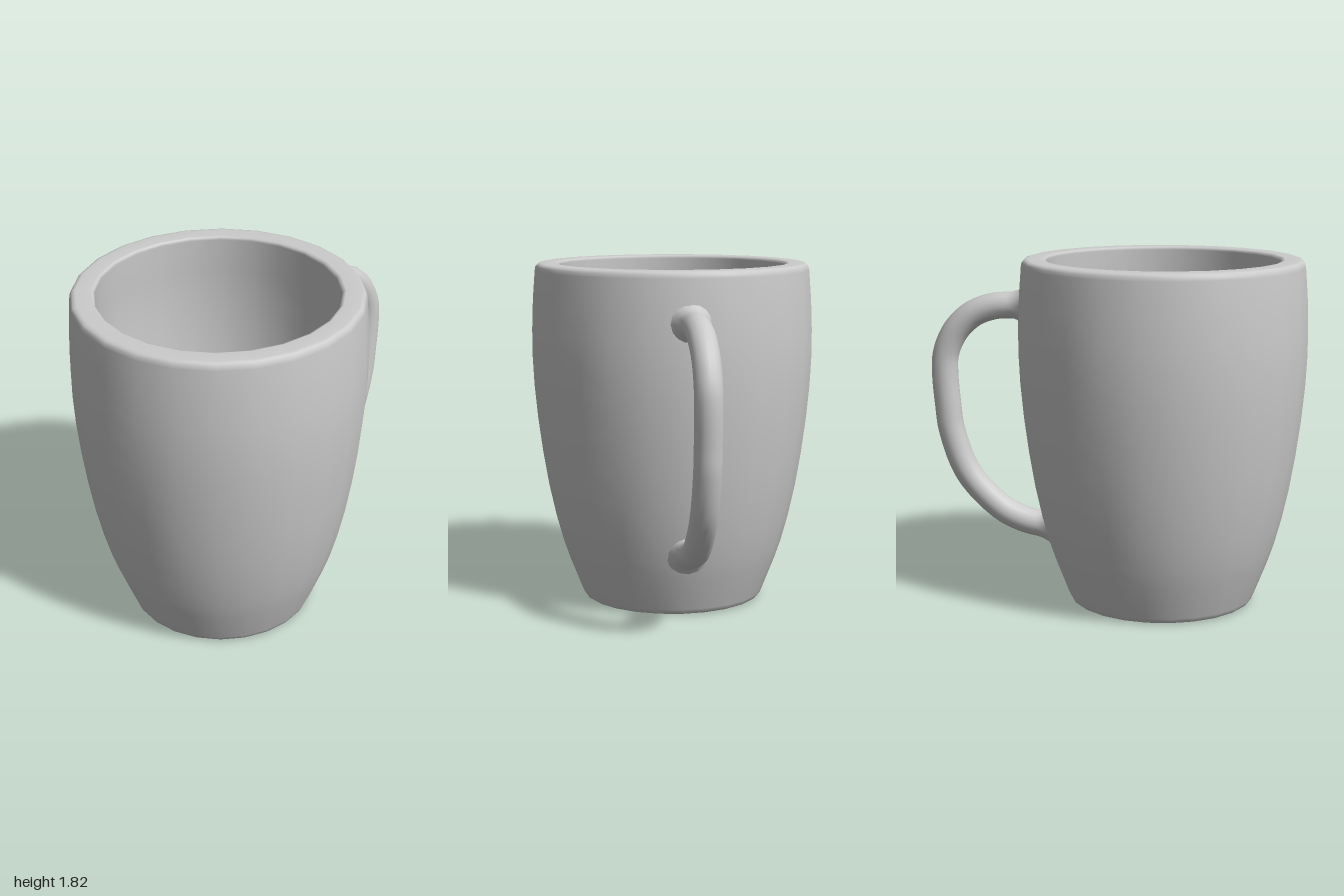
import * as THREE from 'three';

const material = new THREE.MeshStandardMaterial({ color: 0xcccccc, roughness: 0.7 });

// Barrel-shaped cup: one closed profile from base centre, up the outside, over the rim and down inside
function makeCup() {
  const profile = [
    [0, 0], [0.455, 0], [0.474, 0.003], [0.485, 0.01], [0.495, 0.03],
    [0.53, 0.12], [0.565, 0.21], [0.599, 0.31], [0.637, 0.45], [0.674, 0.62],
    [0.704, 0.8], [0.729, 0.99], [0.746, 1.17], [0.754, 1.33], [0.754, 1.47],
    [0.748, 1.63], [0.736, 1.785], [0.732, 1.805], [0.722, 1.817], [0.705, 1.822],
    [0.63, 1.822], [0.617, 1.818], [0.61, 1.805],
    [0.624, 1.63], [0.63, 1.45], [0.626, 1.25], [0.61, 1.0], [0.58, 0.78],
    [0.54, 0.56], [0.495, 0.37], [0.45, 0.23], [0.432, 0.17], [0.41, 0.14], [0.38, 0.13], [0, 0.13],
  ].map(([r, y]) => new THREE.Vector2(r, y));
  const cup = new THREE.Mesh(new THREE.LatheGeometry(profile, 24), material);
  cup.name = 'cup';
  cup.position.x = -0.245;
  return cup;
}

// Round handle, slightly skewed in z, flaring out where it meets the cup
function makeHandle() {
  const curve = new THREE.CatmullRomCurve3([
    [0.47, 1.56, -0.015], [0.56, 1.56, -0.02], [0.66, 1.552, -0.025], [0.77, 1.51, -0.032],
    [0.865, 1.42, -0.038], [0.92, 1.3, -0.041], [0.928, 1.2, -0.042], [0.915, 1.02, -0.042],
    [0.897, 0.88, -0.041], [0.81, 0.645, -0.036], [0.635, 0.46, -0.028],
    [0.52, 0.4, -0.024], [0.42, 0.375, -0.02], [0.33, 0.37, -0.015],
  ].map((p) => new THREE.Vector3(...p)));
  const steps = 96, sides = 16, radius = 0.071;
  const geometry = new THREE.TubeGeometry(curve, steps, radius, sides);
  const length = curve.getLength();
  const pos = geometry.attributes.position;
  const v = new THREE.Vector3();
  for (let i = 0; i <= steps; i++) {
    const u = i / steps;
    const centre = curve.getPointAt(u);
    const toEnd = Math.min(u, 1 - u) * length;
    const flare = 1 + 0.75 * Math.max(0, 1 - toEnd / 0.1) ** 2;
    for (let j = 0; j <= sides; j++) {
      const k = i * (sides + 1) + j;
      v.fromBufferAttribute(pos, k).sub(centre).multiplyScalar(flare).add(centre);
      pos.setXYZ(k, v.x, v.y, v.z);
    }
  }
  geometry.computeVertexNormals();
  // Close the shading seam along the tube
  const normal = geometry.attributes.normal;
  const w = new THREE.Vector3();
  for (let i = 0; i <= steps; i++) {
    const a = i * (sides + 1), b = a + sides;
    v.fromBufferAttribute(normal, a).add(w.fromBufferAttribute(normal, b)).normalize();
    normal.setXYZ(a, v.x, v.y, v.z);
    normal.setXYZ(b, v.x, v.y, v.z);
  }
  const handle = new THREE.Mesh(geometry, material);
  handle.name = 'handle';
  return handle;
}

export function createModel() {
  const mug = new THREE.Group();
  mug.name = 'mug';
  mug.add(makeCup(), makeHandle());
  return mug;
}
